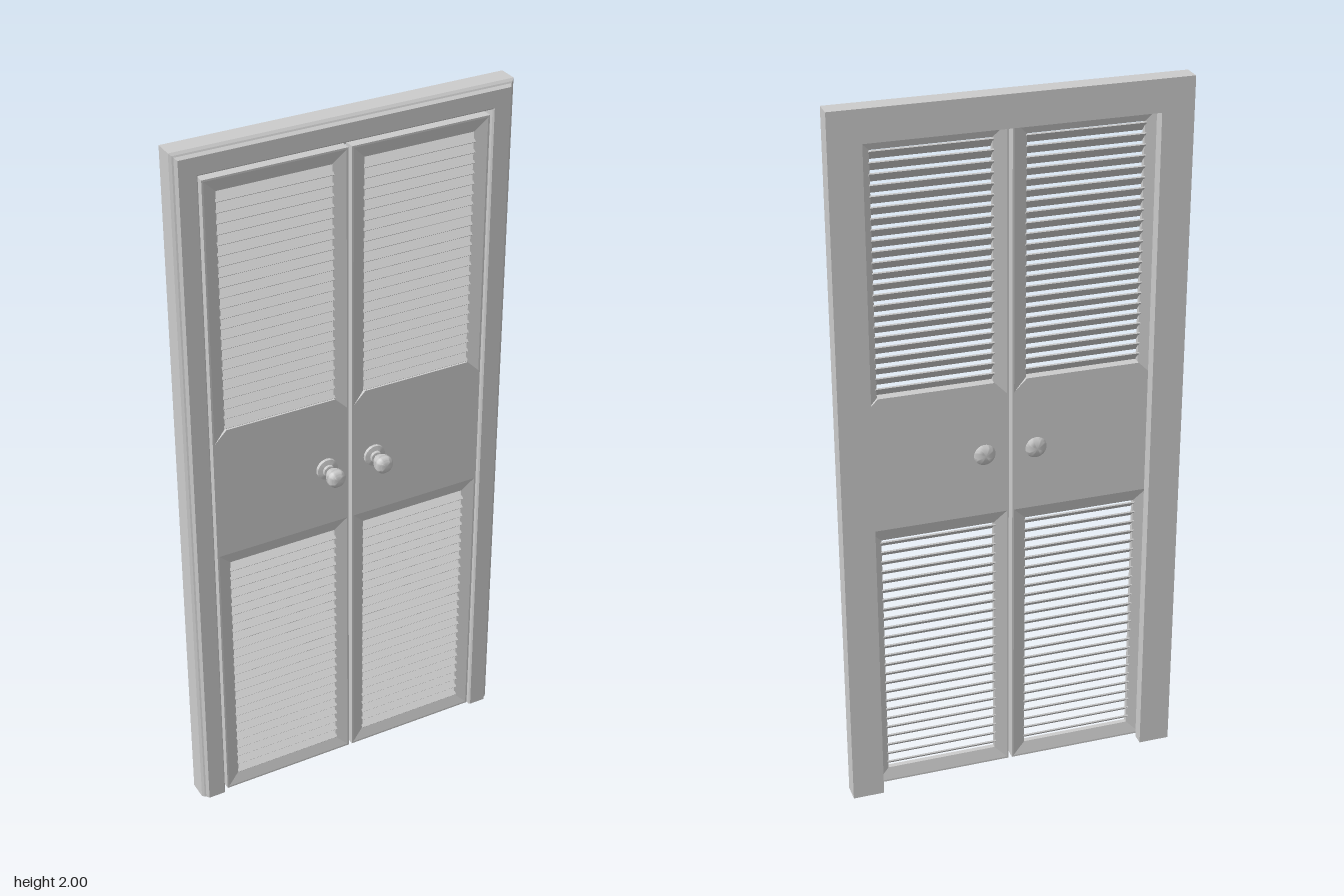
import * as THREE from 'three';
import { toCreasedNormals } from 'three/addons/utils/BufferGeometryUtils.js';

const material = new THREE.MeshStandardMaterial({ color: 0xcccccc });

function add(parent, name, geometry) {
  const mesh = new THREE.Mesh(geometry, material);
  mesh.name = name;
  parent.add(mesh);
  return mesh;
}

const shapeOf = (pts) => new THREE.Shape(pts.map(([x, y]) => new THREE.Vector2(x, y)));

// Sweeps a profile of [inset, z] along mitred stations [x, y, inset dir x, inset dir y]
function sweep(profile, stations) {
  const steps = stations.length - 1;
  const geo = new THREE.ExtrudeGeometry(shapeOf(profile), { depth: steps, steps, bevelEnabled: false });
  const p = geo.attributes.position;
  for (let i = 0; i < p.count; i++) {
    const d = p.getX(i);
    const [x, y, sx, sy] = stations[Math.round(p.getZ(i))];
    p.setXYZ(i, x + sx * d, y + sy * d, p.getY(i));
  }
  geo.computeVertexNormals();
  return geo;
}

// Angled louvre slats filling an opening
function addSlats(parent, name, y0, y1, count, angle) {
  const group = new THREE.Group();
  group.name = name;
  const pitch = (y1 - y0) / count;
  const geo = new THREE.BoxGeometry(0.32, 0.004, 0.035);
  for (let i = 0; i < count; i++) {
    const slat = add(group, 'slat', geo);
    slat.position.set(0.2025, y0 + (i + 0.5) * pitch, -0.018);
    slat.rotation.x = angle;
  }
  parent.add(group);
}

function createDoor() {
  const door = new THREE.Group();
  const x0 = 0.005, x1 = 0.4, bevel = 0.04;
  const railProfile = [[0, -0.034], [0, -0.002], [0.005, -0.002], [bevel, -0.011], [bevel, -0.025], [0.005, -0.034]];

  // Upper surround: two stiles and a top rail
  const upper = [[x1, 1.172, -1, 1], [x1, 1.92, -1, -1], [x0, 1.92, 1, -1], [x0, 1.172, 1, 1]];
  add(door, 'upperSurround', sweep(railProfile, upper));

  // Lower surround: closed on all four sides
  const lower = [[x1, 0.01, -1, 1], [x1, 0.83, -1, -1], [x0, 0.83, 1, -1], [x0, 0.01, 1, 1], [x1, 0.01, -1, 1]];
  add(door, 'lowerSurround', sweep(railProfile, lower));

  // Flat middle panel with its top corners cut to the mitre
  const panel = new THREE.ExtrudeGeometry(shapeOf([
    [x0, 0.83], [x1, 0.83], [x1, 1.172], [x1 - bevel, 1.212], [x0 + bevel, 1.212], [x0, 1.172],
  ]), { depth: 0.032, bevelEnabled: false });
  panel.translate(0, 0, -0.034);
  add(door, 'middlePanel', panel);

  addSlats(door, 'upperLouvres', 1.212, 1.88, 23, 0.84);
  addSlats(door, 'lowerLouvres', 0.05, 0.79, 25, 0.72);

  // Front knob, rosette and domed back plate turned as one spindle
  const spindle = [
    [0, -0.046], [0.012, -0.045], [0.023, -0.041], [0.03, -0.034],
    [0.031, 0.002], [0.03, 0.006], [0.017, 0.009], [0.016, 0.016], [0.01, 0.018], [0.01, 0.023],
    [0.016, 0.025], [0.021, 0.034], [0.025, 0.044], [0.026, 0.048], [0.023, 0.051],
    [0.026, 0.054], [0.025, 0.06], [0.02, 0.066], [0.015, 0.069], [0, 0.069],
  ].map(([r, z]) => new THREE.Vector2(r, z));
  const knobGeo = toCreasedNormals(new THREE.LatheGeometry(spindle, 32), 0.7);
  const knob = add(door, 'knob', knobGeo);
  knob.rotation.x = Math.PI / 2;
  knob.position.set(0.072, 1.005, 0);
  return door;
}

export function createModel() {
  const model = new THREE.Group();
  model.name = 'louvredDoubleDoor';

  // Door frame: moulded front edge and a stop behind the doors
  const W = 0.475;
  const frameProfile = [
    [0, -0.07], [0, -0.017], [0.006, -0.011], [0.01, -0.009], [0.016, 0], [0.063, 0],
    [0.067, -0.004], [0.067, -0.036], [0.088, -0.036], [0.088, -0.07],
  ];
  add(model, 'frame', sweep(frameProfile, [[W, 0, -1, 0], [W, 2, -1, -1], [-W, 2, 1, -1], [-W, 0, 1, 0]]));

  // Pair of mirrored doors
  for (const side of [1, -1]) {
    const door = createDoor();
    door.name = side > 0 ? 'leftDoor' : 'rightDoor';
    door.scale.x = side;
    model.add(door);
  }
  return model;
}
